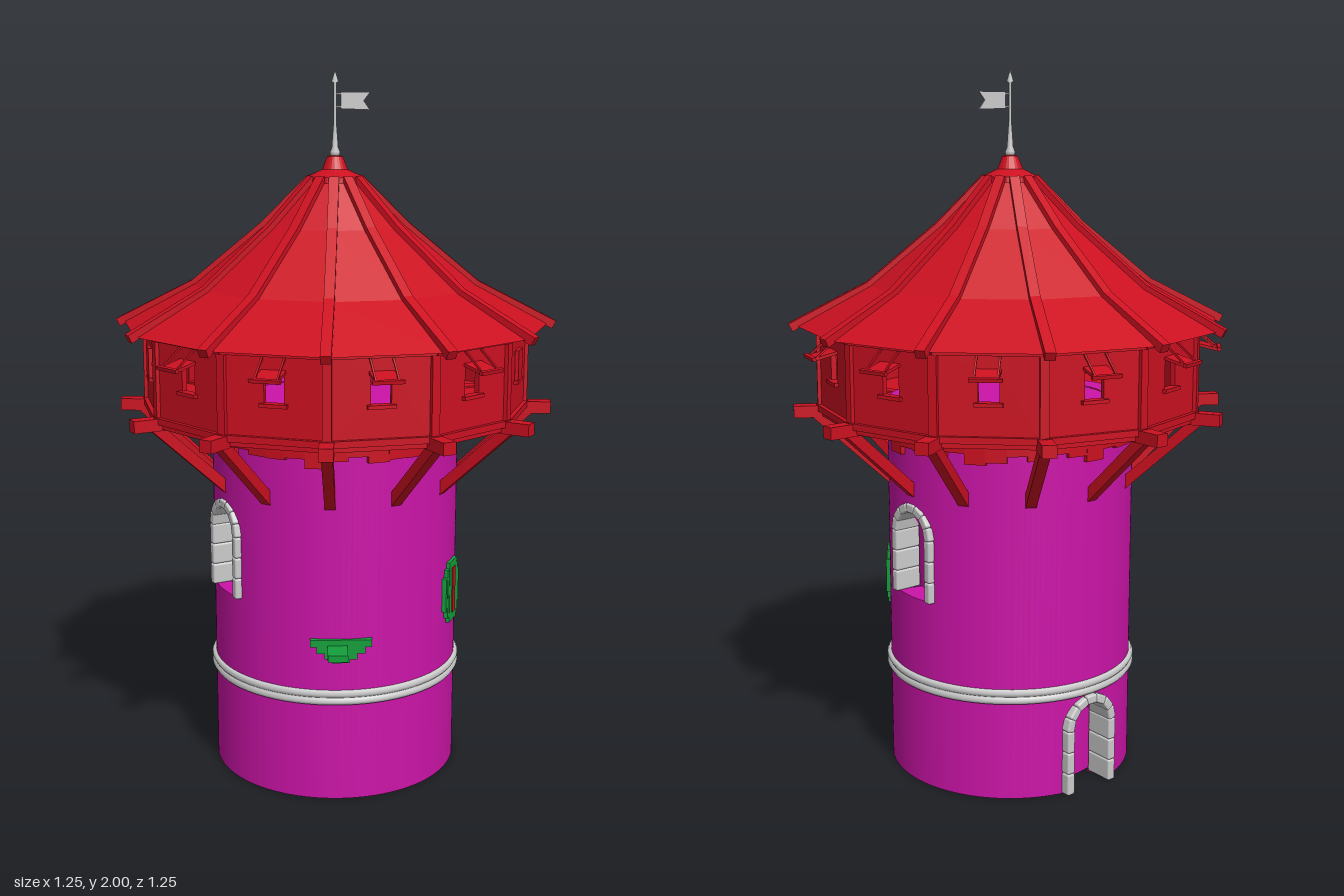
import * as THREE from 'three';
import { toCreasedNormals } from 'three/addons/utils/BufferGeometryUtils.js';
import { RoundedBoxGeometry } from 'three/addons/geometries/RoundedBoxGeometry.js';

const mat = (color, flatShading = false) =>
  new THREE.MeshStandardMaterial({ color, flatShading, side: THREE.DoubleSide });
const plaster = mat(0xcc14a8), wood = mat(0xcc1020, true), moss = mat(0x14a03c), stone = mat(0xcccccc);
const R = 0.355, INNER = 0.285, TOP = 1.08, SIDES = 12, STEP = Math.PI * 2 / SIDES;
const HALF = 0.078;   // half width of the arched openings
const openings = [
  { name: 'leftWindow', angle: Math.PI / 2, base: 0.55, spring: 0.73, out: 0.362 },
  { name: 'rightWindow', angle: -Math.PI / 2, base: 0.55, spring: 0.73, out: 0.362 },
  { name: 'backDoor', angle: Math.PI, base: 0, spring: 0.19, out: 0.37 },
];

function add(parent, name, geo, material, x = 0, y = 0, z = 0) {
  const m = new THREE.Mesh(geo, material);
  m.name = name;
  m.position.set(x, y, z);
  parent.add(m);
  return m;
}
const box = (w, h, d) => new THREE.BoxGeometry(w, h, d);

// Group turned about the tower axis: its local +z points outwards
function spoke(parent, name, angle) {
  const g = new THREE.Group();
  g.name = name;
  g.rotation.y = angle;
  parent.add(g);
  return g;
}

// Timber between two [radius, height] points of a spoke
function bar(parent, name, [r0, y0], [r1, y1], w, h, material = wood, x = 0) {
  const m = add(parent, name, box(w, h, Math.hypot(r1 - r0, y1 - y0)), material, x, (y0 + y1) / 2, (r0 + r1) / 2);
  m.rotation.x = -Math.atan2(y1 - y0, r1 - r0);
}

// Thick round wall made of narrow columns, left open at the arches
function towerWall() {
  const pos = [], N = 144;
  const p = (r, a, y) => [r * Math.sin(a), y, r * Math.cos(a)];
  const quad = (a, b, c, d) => pos.push(...a, ...b, ...c, ...a, ...c, ...d);
  for (let i = 0; i < N; i++) {
    const a = (i / N) * Math.PI * 2, b = ((i + 1) / N) * Math.PI * 2;
    let spans = [[0, 0, TOP, TOP]];
    for (const o of openings) {
      const d = t => R * Math.atan2(Math.sin(t - o.angle), Math.cos(t - o.angle));
      if (Math.abs(d((a + b) / 2)) > HALF) continue;
      const top = t => o.spring + Math.sqrt(Math.max(0, HALF * HALF - d(t) ** 2));
      spans = [[top(a), top(b), TOP, TOP]];
      if (o.base > 0) spans.push([0, 0, o.base, o.base]);
    }
    for (const [la, lb, ha, hb] of spans) {
      quad(p(R, a, la), p(R, b, lb), p(R, b, hb), p(R, a, ha));
      quad(p(R, a, ha), p(R, b, hb), p(INNER, b, hb), p(INNER, a, ha));
      quad(p(INNER, a, la), p(INNER, b, lb), p(R, b, lb), p(R, a, la));
    }
  }
  const g = new THREE.BufferGeometry();
  g.setAttribute('position', new THREE.Float32BufferAttribute(pos, 3));
  return toCreasedNormals(g, 0.5);
}

// Stone jambs and arch lining an opening
function archFrame(parent, o) {
  const g = spoke(parent, o.name, o.angle), depth = o.out - 0.28, z = (o.out + 0.28) / 2;
  const h = (o.spring - o.base) / 3;
  for (const s of [-1, 1]) for (let i = 0; i < 3; i++)
    add(g, 'jambStone', new RoundedBoxGeometry(0.026, h, depth, 2, 0.006), stone, s * 0.077, o.base + h * (i + 0.5), z);
  for (let i = 0; i < 7; i++) {
    const t = (i + 0.5) / 7 * Math.PI;
    const m = add(g, 'archStone', new RoundedBoxGeometry(0.026, 0.038, depth, 2, 0.006), stone,
      0.077 * Math.cos(t), o.spring + 0.077 * Math.sin(t), z);
    m.rotation.z = t;
  }
}

// One timber wall panel with its window and shutter
function galleryPanel(parent, k) {
  const g = spoke(parent, 'galleryPanel', (k + 0.5) * STEP), apothem = 0.526;
  const s = new THREE.Shape([[-0.141, 1.06], [0.141, 1.06], [0.141, 1.31], [-0.141, 1.31]].map(v => new THREE.Vector2(...v)));
  s.holes.push(new THREE.Path([[-0.027, 1.165], [-0.027, 1.245], [0.027, 1.245], [0.027, 1.165]].map(v => new THREE.Vector2(...v))));
  add(g, 'panel', new THREE.ExtrudeGeometry(s, { depth: 0.015, bevelEnabled: false }), wood, 0, 0, apothem - 0.015);
  for (const y of [1.068, 1.295]) add(g, 'rail', box(0.285, 0.018, 0.016), wood, 0, y, apothem + 0.004);
  add(g, 'windowSill', box(0.075, 0.01, 0.016), wood, 0, 1.16, apothem + 0.004);
  if (k === 1 || k === 8) {
    add(g, 'closedShutter', box(0.062, 0.085, 0.01), wood, 0, 1.205, apothem + 0.006);
    return;
  }
  bar(g, 'openShutter', [apothem, 1.248], [0.592, 1.232], 0.066, 0.008);
  for (const x of [-0.03, 0.03]) bar(g, 'shutterStay', [0.594, 1.23], [apothem, 1.285], 0.005, 0.005, wood, x);
  bar(g, 'shutterBatten', [0.588, 1.236], [0.598, 1.234], 0.085, 0.01);
}

export function createModel() {
  const root = new THREE.Group();
  root.name = 'tower';

  // Tower body, solid core behind the niches, top deck
  add(root, 'towerWall', towerWall(), plaster);
  add(root, 'towerCore', new THREE.CylinderGeometry(INNER, INNER, TOP - 0.008, 72), plaster, 0, TOP / 2 + 0.002);
  openings.forEach(o => archFrame(root, o));

  // Double moulded string course
  const band = [[0.35, 0.282], [0.362, 0.284], [0.367, 0.293], [0.362, 0.302], [0.359, 0.304],
    [0.362, 0.306], [0.367, 0.315], [0.362, 0.324], [0.35, 0.326]];
  add(root, 'stringCourse', new THREE.LatheGeometry(band.map(v => new THREE.Vector2(...v)), 72), stone);

  // Arrow slit with stepped surround
  const slit = spoke(root, 'arrowSlit', 0.726);
  for (const [w, h, out] of [[0.07, 0.18, 0.364], [0.1, 0.145, 0.363], [0.126, 0.1, 0.362]])
    add(slit, 'slitSurround', box(w, h, out - 0.335), moss, 0, 0.54, (out + 0.335) / 2);
  add(slit, 'slitOpening', box(0.026, 0.135, 0.03), wood, 0, 0.542, 0.352);

  // Stepped bracket carrying a jutting ledge
  const ledge = spoke(root, 'ledge', -0.468);
  for (const [w, y, h] of [[0.17, 0.465, 0.02], [0.135, 0.446, 0.02], [0.09, 0.428, 0.018], [0.05, 0.414, 0.012]])
    add(ledge, 'ledgeStep', box(w, h, 0.03), moss, 0.01, y, 0.348);
  add(ledge, 'ledgeSlab', box(0.055, 0.018, 0.1), moss, 0, 0.45, 0.388);

  // Ragged board skirt under the gallery
  const skirt = new THREE.Group();
  skirt.name = 'boardSkirt';
  root.add(skirt);
  for (let i = 0; i < 40; i++) {
    const h = 0.078 + 0.012 * Math.sin(i * 2.3) + 0.008 * Math.sin(i * 5.1);
    const s = spoke(skirt, 'skirtBoard', i / 40 * Math.PI * 2);
    add(s, 'board', box(0.06, h, 0.014), wood, 0, 1.055 - h / 2, 0.36);
  }

  // Gallery floor ring
  const floor = [[0.34, 1.045], [0.545, 1.045], [0.545, 1.07], [0.34, 1.07]];
  add(root, 'galleryFloor', new THREE.LatheGeometry(floor.map(v => new THREE.Vector2(...v)), SIDES), wood);

  // Roof with concave slope, bell-shaped cap
  const slope = [[0.605, 1.3], [0.4, 1.41], [0.2, 1.575], [0.07, 1.705]];
  add(root, 'roof', new THREE.LatheGeometry(slope.map(v => new THREE.Vector2(...v)), SIDES), wood);
  const cap = [[0, 1.69], [0.08, 1.695], [0.078, 1.71], [0.036, 1.73], [0.022, 1.765], [0, 1.772]];
  add(root, 'roofCap', new THREE.LatheGeometry(cap.map(v => new THREE.Vector2(...v)), 24), wood);

  // Repeating frame: beams, braces, posts, roof ribs and panels
  for (let k = 0; k < SIDES; k++) {
    const g = spoke(root, 'frameBay', k * STEP);
    bar(g, 'floorBeam', [0.33, 1.058], [0.62, 1.058], 0.038, 0.034);
    bar(g, 'brace', [0.335, 0.845], [0.555, 1.05], 0.03, 0.03);
    add(g, 'cornerPost', box(0.024, 0.24, 0.03), wood, 0, 1.185, 0.537);
    const ribs = [[0.622, 1.297], ...slope.slice(1)];
    for (let i = 0; i < 3; i++) bar(g, 'roofRib', ribs[i], ribs[i + 1], 0.028, 0.024);
    galleryPanel(root, k);
  }

  // Flagpole with arrowhead and swallowtail pennant
  const pole = [[0, 1.76], [0.013, 1.765], [0.014, 1.778], [0.009, 1.79], [0.007, 1.82], [0.004, 1.86],
    [0.004, 1.965], [0.01, 1.968], [0, 2]];
  add(root, 'flagpole', new THREE.LatheGeometry(pole.map(v => new THREE.Vector2(...v)), 12), stone);
  const flag = new THREE.Shape([[0.018, 1.895], [0.11, 1.892], [0.09, 1.917], [0.11, 1.94], [0.018, 1.94]].map(v => new THREE.Vector2(...v)));
  add(root, 'pennant', new THREE.ExtrudeGeometry(flag, { depth: 0.004, bevelEnabled: false }), stone, 0, 0, -0.002);
  for (const y of [1.9, 1.935]) add(root, 'pennantTie', box(0.02, 0.004, 0.004), stone, 0.01, y, 0);

  return root;
}
